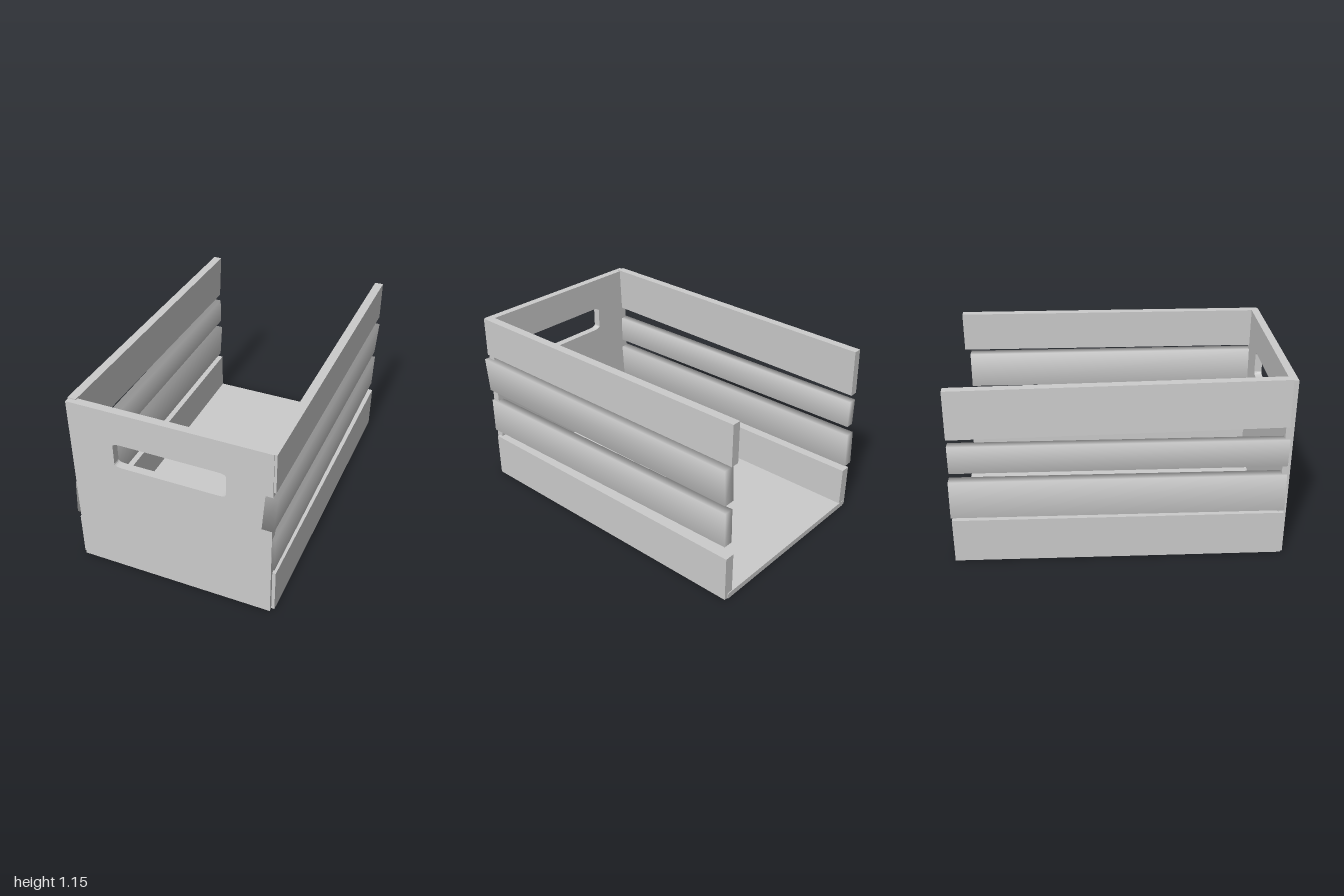
import * as THREE from 'three';
import { mergeVertices } from 'three/addons/utils/BufferGeometryUtils.js';

const material = new THREE.MeshStandardMaterial({ color: 0xcccccc });

function part(name, geometry) {
  const mesh = new THREE.Mesh(geometry, material);
  mesh.name = name;
  return mesh;
}

// A plank whose two ends may differ. Each end is { z, y: [bottom, top], x: [centre at bottom, centre at top] }
function plank(name, front, back, thickness, soft) {
  let geometry = new THREE.BoxGeometry(1, 1, 1);
  const p = geometry.attributes.position;
  for (let i = 0; i < p.count; i++) {
    const end = p.getZ(i) > 0 ? front : back;
    const k = p.getY(i) > 0 ? 1 : 0;
    p.setXYZ(i, end.x[k] + p.getX(i) * thickness, end.y[k], end.z);
  }
  if (soft) { // shared corners give the softly shaded slats
    geometry.deleteAttribute('normal');
    geometry.deleteAttribute('uv');
    geometry = mergeVertices(geometry);
  }
  geometry.computeVertexNormals();
  return part(name, geometry);
}

// Front board with the hand hole
function frontBoard() {
  const board = new THREE.Shape();
  board.moveTo(-0.605, 0);
  board.lineTo(0.605, 0);
  board.lineTo(0.605, 1.14);
  board.lineTo(-0.605, 1.14);
  const [l, r, b, t, cx, cy] = [-0.335, 0.34, 0.77, 0.93, 0.05, 0.02];
  const hole = new THREE.Path();
  hole.moveTo(l + cx, b);
  hole.lineTo(r - cx, b);
  hole.quadraticCurveTo(r, b, r, b + cy);
  hole.lineTo(r, t - cy);
  hole.quadraticCurveTo(r, t, r - cx, t);
  hole.lineTo(l + cx, t);
  hole.quadraticCurveTo(l, t, l, t - cy);
  hole.lineTo(l, b + cy);
  hole.quadraticCurveTo(l, b, l + cx, b);
  board.holes.push(hole);
  const geometry = new THREE.ExtrudeGeometry(board, { depth: 0.048, bevelEnabled: false, curveSegments: 5 });
  geometry.translate(0, 0, 0.942);
  return part('frontBoard', geometry);
}

export function createModel() {
  const group = new THREE.Group();
  group.name = 'crate';
  group.add(frontBoard());

  const floor = part('floor', new THREE.BoxGeometry(1.2, 0.035, 1.98));
  floor.position.set(0, 0.0175, -0.01);
  group.add(floor);

  // Left side slats, top to bottom
  group.add(
    plank('leftSlat1', { z: 0.985, y: [0.89, 1.14], x: [0.593, 0.593] }, { z: -1, y: [0.89, 1.14], x: [0.593, 0.593] }, 0.053, false),
    plank('leftSlat2', { z: 1, y: [0.628, 0.858], x: [0.583, 0.6] }, { z: -0.967, y: [0.628, 0.855], x: [0.583, 0.598] }, 0.07, true),
    plank('leftSlat3', { z: 0.985, y: [0.333, 0.56], x: [0.593, 0.593] }, { z: -0.975, y: [0.36, 0.585], x: [0.588, 0.594] }, 0.06, true),
    plank('leftSlat4', { z: 0.968, y: [0.003, 0.29], x: [0.593, 0.594] }, { z: -0.995, y: [0.003, 0.29], x: [0.593, 0.594] }, 0.063, false),
  );

  // Right side slats, top to bottom
  group.add(
    plank('rightSlat1', { z: 0.96, y: [0.857, 1.146], x: [-0.595, -0.582] }, { z: -0.99, y: [0.82, 1.115], x: [-0.595, -0.582] }, 0.052, false),
    plank('rightSlat2', { z: 0.97, y: [0.603, 0.775], x: [-0.592, -0.592] }, { z: -0.99, y: [0.603, 0.775], x: [-0.592, -0.592] }, 0.055, true),
    plank('rightSlat3', { z: 0.97, y: [0.315, 0.546], x: [-0.609, -0.594] }, { z: -1, y: [0.315, 0.546], x: [-0.607, -0.592] }, 0.063, true),
    plank('rightSlat4', { z: 0.975, y: [0.003, 0.285], x: [-0.591, -0.591] }, { z: -0.998, y: [0.003, 0.285], x: [-0.591, -0.591] }, 0.063, false),
  );
  return group;
}
